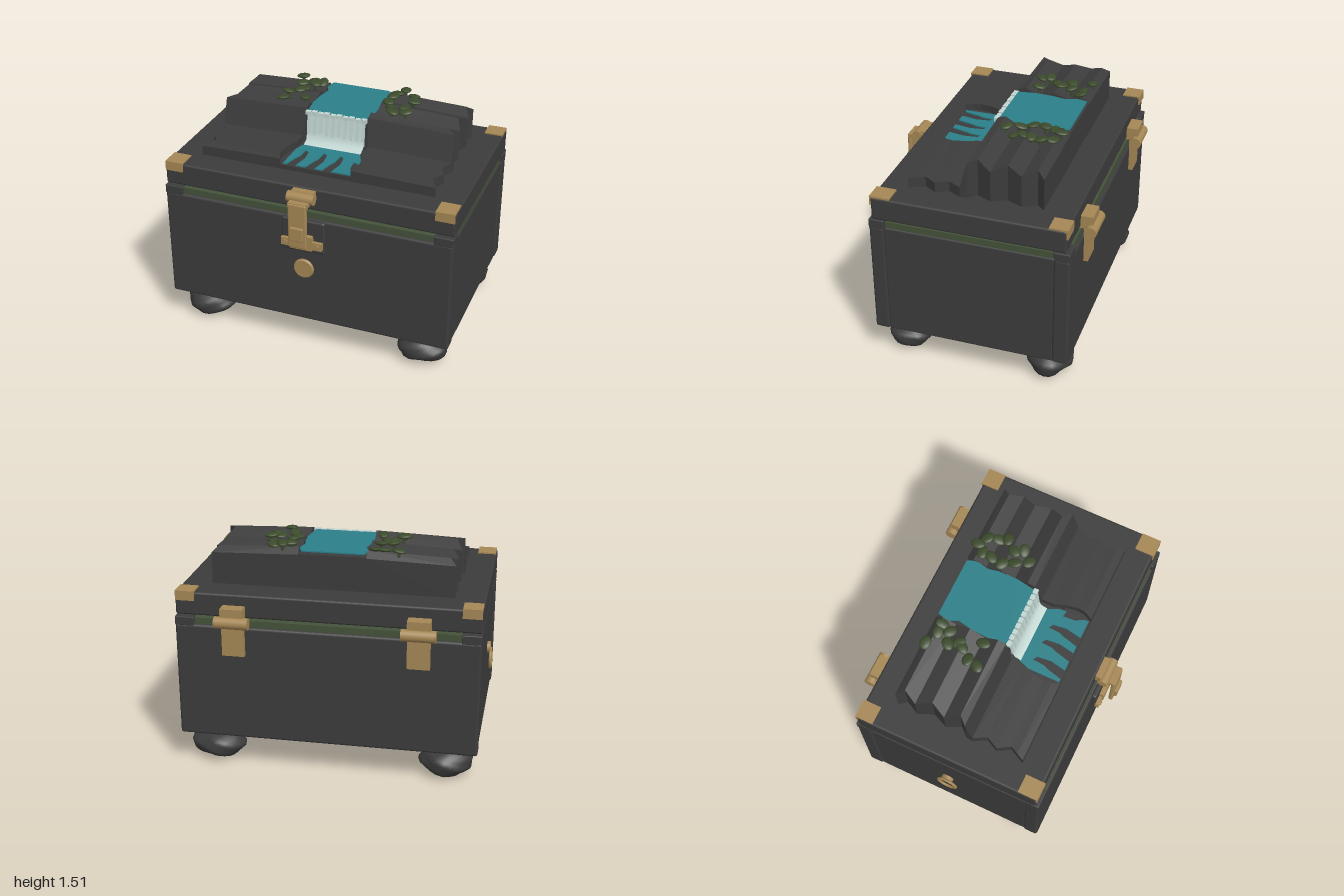
import * as THREE from 'three';
import { mergeVertices } from 'three/addons/utils/BufferGeometryUtils.js';
import { RoundedBoxGeometry } from 'three/addons/geometries/RoundedBoxGeometry.js';

const material = (name, color) => {
  const m = new THREE.MeshStandardMaterial({ color });
  m.name = name;
  return m;
};

export function createModel() {
  const model = new THREE.Group();
  const stone = material('dark stone', 0x3c3c3c);
  const brass = material('brass', 0xa58755);
  const water = material('teal water', 0x2b7f88);
  const foam = material('white foam', 0xc2d6d1);
  foam.side = THREE.DoubleSide;
  const moss = material('moss green', 0x3b4a2b);
  const lining = material('lining green', 0x44523a);
  const CX = 0.015; // chest middle

  const add = (name, geo, mat, x = 0, y = 0, z = 0) => {
    const mesh = new THREE.Mesh(geo, mat);
    mesh.name = name;
    mesh.position.set(x, y, z);
    model.add(mesh);
    return mesh;
  };
  // box from its limits, optionally rounded
  const box = (name, mat, x0, x1, y0, y1, z0, z1, r = 0) => {
    const d = [x1 - x0, y1 - y0, z1 - z0];
    const geo = r ? new RoundedBoxGeometry(...d, 3, r) : new THREE.BoxGeometry(...d);
    return add(name, geo, mat, (x0 + x1) / 2, (y0 + y1) / 2, (z0 + z1) / 2);
  };
  const cyl = (name, mat, r, len, axis, x, y, z, seg = 24) => {
    const geo = new THREE.CylinderGeometry(r, r, len, seg);
    if (axis === 'x') geo.rotateZ(Math.PI / 2);
    if (axis === 'z') geo.rotateX(Math.PI / 2);
    return add(name, geo, mat, x, y, z);
  };

  // Chest body
  box('basePlate', stone, -0.885, 0.915, 0.19, 0.225, -0.58, 0.535);
  box('bodyCore', stone, -0.962, 0.992, 0.22, 1.0, -0.575, 0.535, 0.012);
  box('frontPanel', stone, -0.97, 1.0, 0.22, 1.0, 0.53, 0.63, 0.018);
  box('backPanel', stone, -0.97, 1.0, 0.22, 1.0, -0.675, -0.57, 0.018);
  box('liningLong', lining, -0.85, 0.88, 0.99, 1.042, -0.655, 0.612);
  box('liningWide', lining, -0.955, 0.985, 0.99, 1.042, -0.562, 0.522);
  for (const [x0, x1] of [[-0.97, -0.845], [0.875, 1.0]]) {
    box('frontCornerBlock', stone, x0, x1, 0.99, 1.05, 0.53, 0.63, 0.006);
    box('backCornerBlock', stone, x0, x1, 0.99, 1.05, -0.675, -0.57, 0.006);
  }

  // Lid and its brass corners
  box('lid', stone, -0.97, 1.0, 1.055, 1.21, -0.65, 0.608, 0.015);
  for (const [x0, x1] of [[-0.965, -0.842], [0.872, 0.996]]) {
    box('frontCornerTop', brass, x0, x1, 1.207, 1.219, 0.482, 0.615);
    box('frontCornerFace', brass, x0, x1, 1.155, 1.219, 0.604, 0.615);
    box('backCornerTop', brass, x0, x1, 1.207, 1.219, -0.66, -0.538);
    box('backCornerFace', brass, x0, x1, 1.155, 1.219, -0.66, -0.647);
  }

  // Lumpy stone feet
  const foot = (x, z, seed) => {
    let geo = new THREE.IcosahedronGeometry(1, 4);
    geo.deleteAttribute('normal');
    geo.deleteAttribute('uv');
    geo = mergeVertices(geo);
    const p = geo.attributes.position;
    for (let i = 0; i < p.count; i++) {
      const a = p.getX(i), b = p.getY(i), c = p.getZ(i);
      const k = 0.97 + 0.05 * Math.sin(4 * a + 3 * c + seed) + 0.04 * Math.sin(7 * b - 5 * a + seed * 2);
      p.setXYZ(i, a * k * 0.18, Math.max(b * k * 0.1, -0.1), c * k * 0.15);
    }
    geo.computeVertexNormals();
    add('foot', geo, stone, x, 0.1, z);
  };
  [[-0.76, 0.458], [0.788, 0.458], [-0.76, -0.505], [0.788, -0.505]].forEach(([x, z], i) => foot(x, z, i * 1.7));

  // Front latch
  box('latchPlate', stone, -0.13, 0.165, 0.765, 1.0, 0.62, 0.658, 0.014);
  box('latchBar', brass, -0.125, 0.155, 0.808, 0.862, 0.655, 0.682);
  box('latchStaple', brass, -0.06, 0.09, 0.8, 0.9, 0.655, 0.69);
  for (const x of [-0.095, 0.125]) cyl('latchRivet', brass, 0.016, 0.012, 'z', x, 0.835, 0.686, 12);
  cyl('latchBarrel', brass, 0.036, 0.18, 'x', 0.012, 1.165, 0.663);
  box('latchMount', brass, -0.06, 0.09, 1.13, 1.2, 0.6, 0.65);
  box('latchLink', brass, -0.05, 0.08, 1.13, 1.158, 0.66, 0.74);
  box('hasp', brass, -0.048, 0.076, 0.84, 1.155, 0.717, 0.746, 0.01);
  box('haspButton', brass, -0.03, 0.06, 0.9, 0.995, 0.74, 0.765, 0.006);

  // Front medallion
  cyl('medallionDisc', brass, 0.055, 0.028, 'z', CX, 0.63, 0.64, 32);
  add('medallionRim', new THREE.TorusGeometry(0.057, 0.013, 10, 32), brass, CX, 0.63, 0.642);

  // Back hinges
  for (const x of [-0.58, 0.612]) {
    cyl('hingeBarrel', brass, 0.039, 0.22, 'x', x, 1.045, -0.722);
    box('hingeLowerLeaf', brass, x - 0.073, x + 0.073, 0.812, 1.04, -0.705, -0.672);
    box('hingeUpperLeaf', brass, x - 0.073, x + 0.073, 1.05, 1.138, -0.73, -0.645);
  }

  // Ring pull on the right side
  cyl('ringMount', brass, 0.04, 0.022, 'x', -0.976, 0.722, -0.03);
  add('ring', new THREE.TorusGeometry(0.065, 0.009, 8, 32).rotateY(Math.PI / 2), brass, -0.99, 0.645, -0.03);

  // Corrugated cliffs: rows of [z, outer y, inner y, outer half width, inner half width]
  const rows = [
    [0.43, 1.275, 1.285, 0.80, 0.24], [0.38, 1.28, 1.288, 0.775, 0.265], [0.33, 1.28, 1.288, 0.75, 0.275],
    [0.25, 1.28, 1.29, 0.80, 0.26], [0.17, 1.28, 1.29, 0.76, 0.23], [0.085, 1.28, 1.29, 0.805, 0.23],
    [0.037, 1.455, 1.475, 0.80, 0.215], [-0.015, 1.465, 1.492, 0.75, 0.215], [-0.11, 1.415, 1.44, 0.795, 0.22],
    [-0.21, 1.455, 1.482, 0.75, 0.22], [-0.31, 1.42, 1.445, 0.795, 0.22], [-0.4, 1.455, 1.475, 0.75, 0.22],
    [-0.45, 1.42, 1.435, 0.79, 0.22],
  ];
  const cliff = (name, s) => {
    const pos = [];
    const quad = (a, b, c, d) => {
      for (const v of s > 0 ? [a, b, c, a, c, d] : [a, c, b, a, d, c]) pos.push(...v);
    };
    const sec = rows.map(([z, yo, yi, xo, xi]) => [
      [CX + s * xi, 1.2, z], [CX + s * xo, 1.2, z], [CX + s * xo, yo, z], [CX + s * xi, yi, z]]);
    for (let i = 0; i < sec.length - 1; i++) {
      const f = sec[i], b = sec[i + 1];
      for (let k = 0; k < 4; k++) quad(f[k], b[k] === f[k] ? f[k] : f[(k + 3) % 4], b[(k + 3) % 4], b[k]);
    }
    const f = sec[0], b = sec[sec.length - 1];
    quad(f[0], f[1], f[2], f[3]);
    quad(b[3], b[2], b[1], b[0]);
    const geo = new THREE.BufferGeometry();
    geo.setAttribute('position', new THREE.Float32BufferAttribute(pos, 3));
    geo.computeVertexNormals();
    const rock = stone;
    add(name, geo, rock);
  };
  cliff('leftCliff', 1);
  cliff('rightCliff', -1);
  box('streamBed', stone, -0.21, 0.24, 1.2, 1.44, -0.448, 0.045);
  box('poolBed', stone, -0.23, 0.258, 1.2, 1.242, 0.04, 0.428);
  for (const s of [-1, 1]) box('poolBank', stone, CX + s * 0.25 - 0.02, CX + s * 0.25 + 0.02, 1.2, 1.241, 0.24, 0.42);

  // Flat water sheets, outlined as [x, z]
  const sheet = (name, pts, y) => {
    const shape = new THREE.Shape(pts.map(p => new THREE.Vector2(...p)));
    const geo = new THREE.ExtrudeGeometry(shape, { depth: 0.008, bevelEnabled: false });
    add(name, geo.rotateX(Math.PI / 2), water, 0, y, 0);
  };
  sheet('upperStream', [[-0.19, -0.44], [0.215, -0.44], [0.24, -0.38], [0.22, -0.29], [0.24, -0.2],
    [0.235, -0.08], [0.215, 0.04], [-0.19, 0.04], [-0.205, -0.08], [-0.2, -0.2], [-0.18, -0.3], [-0.21, -0.37]], 1.462);
  const pool = [[-0.185, 0.12], [0.205, 0.12], [0.245, 0.21], [0.25, 0.26], [0.21, 0.25], [0.215, 0.33],
    [0.245, 0.39], [0.25, 0.418], [0.2, 0.418]];
  // rock fingers cutting into the pool
  for (const x of [0.125, 0.01, -0.12]) {
    pool.push([x - 0.005, 0.418], [x + 0.015, 0.31], [x + 0.005, 0.22], [x - 0.025, 0.2],
      [x - 0.03, 0.28], [x - 0.045, 0.32], [x - 0.07, 0.418]);
  }
  pool.push([-0.213, 0.418], [-0.213, 0.2]);
  sheet('pool', pool, 1.25);

  // Waterfall: a curved curtain with strands and foam lip
  const fall = [[0.05, 1.455], [0.062, 1.4], [0.075, 1.32], [0.092, 1.27], [0.135, 1.252]];
  const curtain = new THREE.PlaneGeometry(0.4, 1, 1, fall.length - 1);
  const cp = curtain.attributes.position;
  for (let i = 0; i < cp.count; i++) {
    const [z, y] = fall[Math.floor(i / 2)];
    cp.setXYZ(i, cp.getX(i), y, z);
  }
  curtain.computeVertexNormals();
  add('waterfall', curtain, foam, CX, 0, 0);
  for (let i = 0; i < 10; i++) {
    const len = 0.15 + 0.025 * Math.sin(i * 2.3);
    const strand = add('fallStrand', new THREE.BoxGeometry(0.02, len, 0.012), foam, -0.175 + i * 0.0425, 1.45 - len / 2, 0.067);
    strand.rotation.x = -0.1;
    box('foamLip', foam, -0.2 + i * 0.0435, -0.165 + i * 0.0435, 1.44, 1.463 + 0.004 * (i % 2), 0.036, 0.066);
  }

  // Moss pads on both cliffs, as [x, z]
  const pads = [[-0.41, -0.42], [-0.36, -0.29], [-0.25, -0.38], [-0.32, -0.23], [-0.4, -0.13], [-0.41, -0.065],
    [-0.26, -0.09], [-0.28, -0.31], [-0.31, -0.38], [-0.34, -0.2], [0.34, -0.42], [0.41, -0.385], [0.3, -0.37],
    [0.29, -0.3], [0.43, -0.31], [0.28, -0.22], [0.45, -0.255], [0.4, -0.19], [0.32, -0.15], [0.36, -0.065], [0.43, -0.13]];
  const padGeo = new THREE.SphereGeometry(1, 12, 8).scale(0.048, 0.014, 0.036);
  pads.forEach(([x, z], i) => {
    const y = 1.488 + 0.012 * Math.sin(i * 2.1);
    add('mossPad', padGeo, moss, x, y, z).rotation.set(0.2 * Math.sin(i), i * 0.8, 0.12 * Math.cos(i * 3));
    add('mossStem', new THREE.CylinderGeometry(0.008, 0.012, 0.06, 6), moss, x, y - 0.03, z);
  });
  return model;
}
